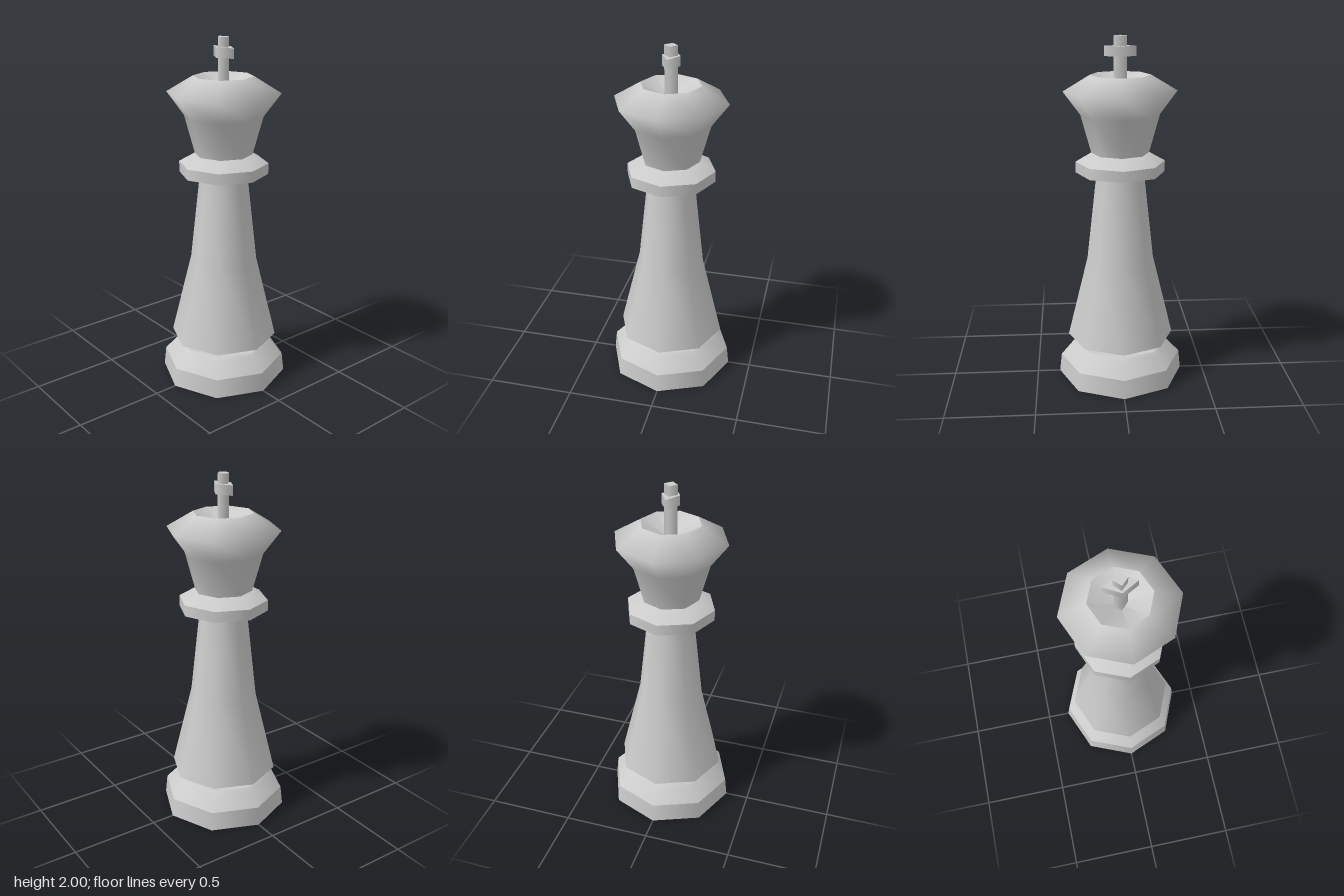
import * as THREE from 'three';
import { mergeGeometries } from 'three/addons/utils/BufferGeometryUtils.js';

const SIDES = 8;
const material = new THREE.MeshStandardMaterial({ color: 0xcccccc });

// Eight-sided turned part; each strip is smooth, with a crease between strips.
function turned(name, ...strips) {
  const lathes = strips.map((strip) =>
    new THREE.LatheGeometry(strip.map(([r, y]) => new THREE.Vector2(r, y)), SIDES));
  const mesh = new THREE.Mesh(mergeGeometries(lathes), material);
  mesh.name = name;
  return mesh;
}

// Upright four-sided prism with its corners on the axes.
function diamondPrism(name, rx, rz, bottom, top) {
  const geometry = new THREE.CylinderGeometry(1, 1, top - bottom, 4);
  geometry.scale(rx, 1, rz);
  geometry.translate(0, (top + bottom) / 2, 0);
  const mesh = new THREE.Mesh(geometry, material);
  mesh.name = name;
  return mesh;
}

export function createModel() {
  const model = new THREE.Group();
  model.name = 'chessKing';

  // Stepped foot
  model.add(turned('base',
    [[0, 0], [0.368, 0]],
    [[0.368, 0], [0.356, 0.11]],
    [[0.356, 0.11], [0.285, 0.185], [0.26, 0.2]],
    [[0.26, 0.2], [0, 0.2]]));

  // Tapering column
  model.add(turned('body',
    [[0.19, 0.195], [0.31, 0.245]],
    [[0.31, 0.245], [0.192, 0.73], [0.135, 1.24]]));

  // Ring below the head
  model.add(turned('collar',
    [[0.12, 1.222], [0.16, 1.225], [0.253, 1.243]],
    [[0.253, 1.243], [0.253, 1.305]],
    [[0.253, 1.305], [0.165, 1.355], [0.1, 1.355]]));

  // Flared head with a hollow top
  model.add(turned('head',
    [[0.162, 1.35], [0.222, 1.57], [0.318, 1.7], [0.168, 1.79]],
    [[0.168, 1.79], [0, 1.7]]));

  // Cross finial
  const cross = new THREE.Group();
  cross.name = 'cross';
  cross.add(diamondPrism('crossPost', 0.037, 0.037, 1.68, 2));
  cross.add(diamondPrism('crossBar', 0.089, 0.05, 1.89, 1.945));
  model.add(cross);

  return model;
}
